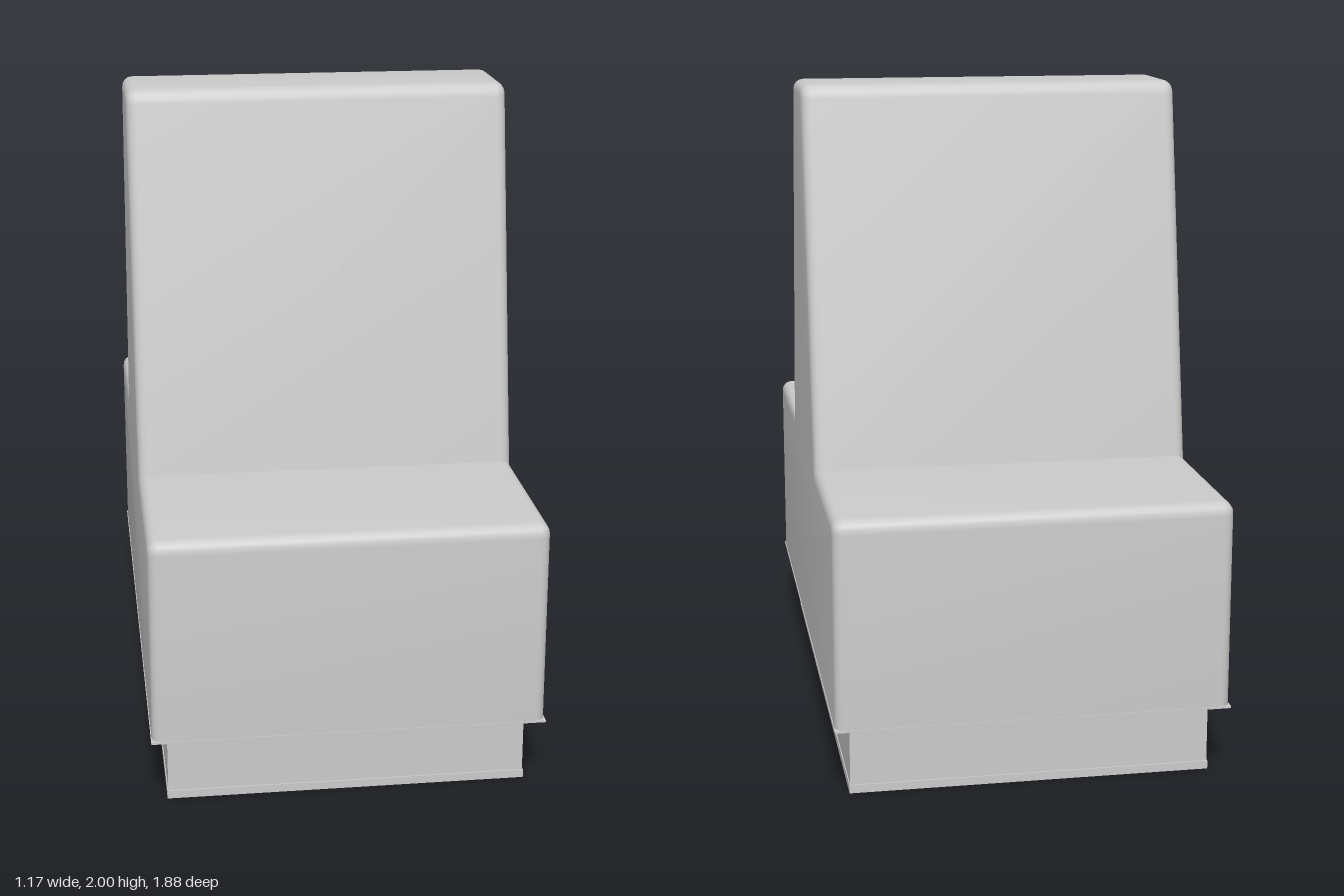
import * as THREE from 'three';
import { toCreasedNormals } from 'three/addons/utils/BufferGeometryUtils.js';

const material = new THREE.MeshStandardMaterial({ color: 0xcccccc });

const WIDTH = 1.17, HALF_LENGTH = 0.937;
const BODY_BOTTOM = 0.22, SEAT_TOP = 0.845, TOP = 2;
const EDGE = 0.03, ROUND = 0.04;

// Side profile: two seats sharing one tapered backrest
function bodyProfile() {
  const s = new THREE.Shape();
  s.moveTo(-HALF_LENGTH, BODY_BOTTOM);
  s.lineTo(HALF_LENGTH, BODY_BOTTOM);
  s.lineTo(HALF_LENGTH, SEAT_TOP - ROUND);
  s.quadraticCurveTo(HALF_LENGTH, SEAT_TOP, HALF_LENGTH - ROUND, SEAT_TOP);
  s.lineTo(0.38, SEAT_TOP);
  s.lineTo(0.163, TOP - ROUND);
  s.quadraticCurveTo(0.155, TOP, 0.155 - ROUND, TOP);
  s.lineTo(-0.155 + ROUND, TOP);
  s.quadraticCurveTo(-0.155, TOP, -0.163, TOP - ROUND);
  s.lineTo(-0.38, SEAT_TOP);
  s.lineTo(-HALF_LENGTH + ROUND, SEAT_TOP);
  s.quadraticCurveTo(-HALF_LENGTH, SEAT_TOP, -HALF_LENGTH, SEAT_TOP - ROUND);
  s.closePath();
  return s;
}

function bodyGeometry() {
  const depth = WIDTH - 2 * EDGE;
  const g = new THREE.ExtrudeGeometry(bodyProfile(), {
    depth, curveSegments: 5,
    bevelThickness: EDGE, bevelSize: EDGE, bevelOffset: -EDGE, bevelSegments: 4,
  });
  // Keep the underside flat and sharp while the other edges stay rounded
  const p = g.attributes.position;
  for (let i = 0; i < p.count; i++) {
    if (p.getY(i) < BODY_BOTTOM + 0.1) p.setY(i, BODY_BOTTOM);
  }
  g.translate(0, 0, -depth / 2);
  g.rotateY(Math.PI / 2);
  return toCreasedNormals(g, 0.6);
}

export function createModel() {
  const group = new THREE.Group();
  const add = (name, geometry, y = 0) => {
    const mesh = new THREE.Mesh(geometry, material);
    mesh.name = name;
    mesh.position.y = y;
    group.add(mesh);
  };
  const box = (name, w, l, y0, y1) =>
    add(name, new THREE.BoxGeometry(w, y1 - y0, l), (y0 + y1) / 2);

  add('seatsAndBackrest', bodyGeometry());
  // Thin square-cornered rim under the upholstery
  box('bottomRim', WIDTH + 0.004, 2 * HALF_LENGTH + 0.004, BODY_BOTTOM - 0.002, BODY_BOTTOM + 0.004);
  // Recessed base with a slight foot
  box('base', 1.075, 1.726, 0.015, BODY_BOTTOM);
  box('baseFoot', 1.08, 1.734, 0, 0.025);
  return group;
}
